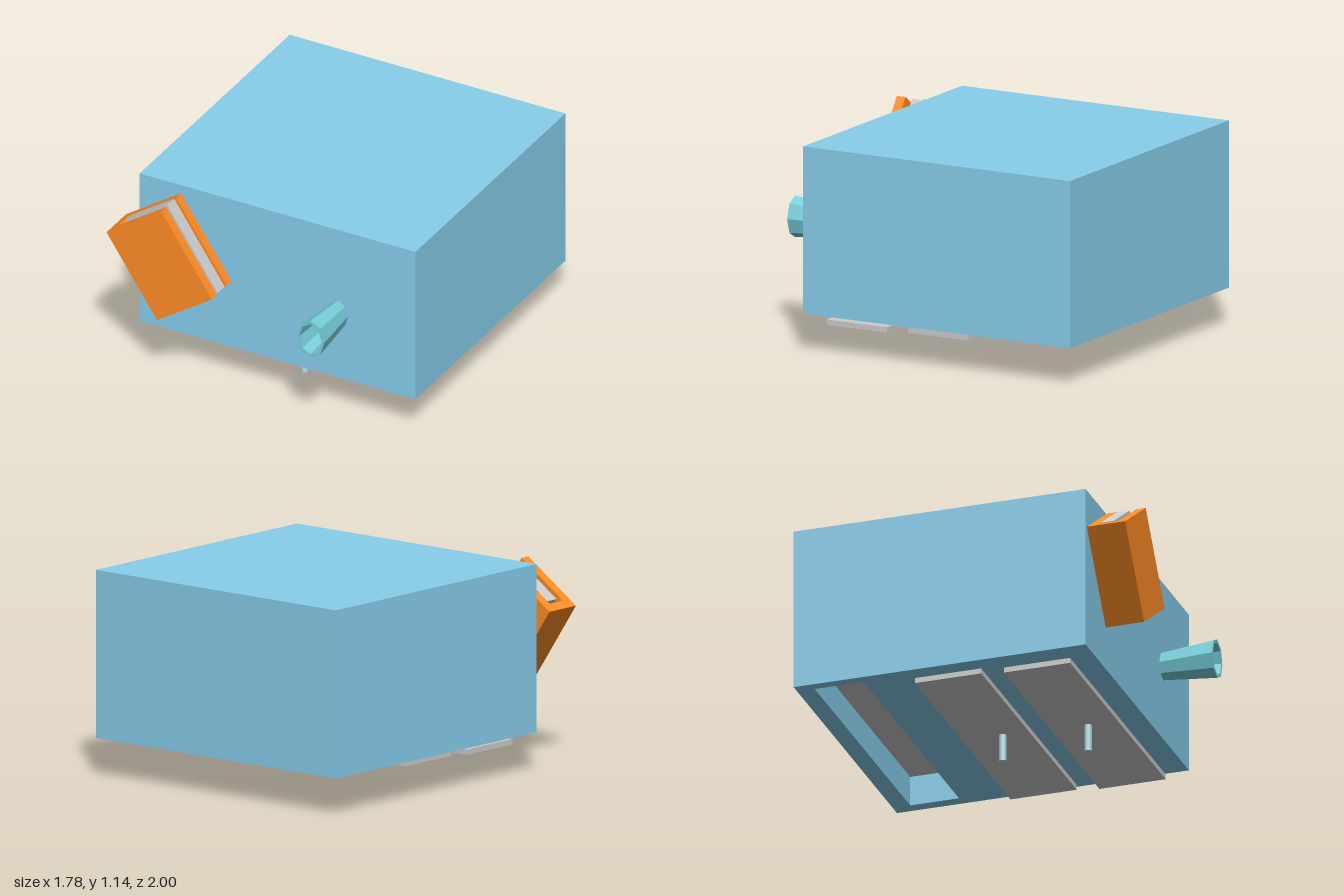
import * as THREE from 'three';

const mat = (color, extra = {}) => new THREE.MeshStandardMaterial({ color, ...extra });

export function createModel() {
  const model = new THREE.Group();
  const blue = mat(0x87ceeb), grey = mat(0xcccccc), orange = mat(0xff8c26);
  const teal = mat(0x78d0dc, { flatShading: true }), pale = mat(0xb0e0e6);

  const add = (parent, name, geometry, material) => {
    const mesh = new THREE.Mesh(geometry, material);
    mesh.name = name;
    parent.add(mesh);
    return mesh;
  };
  // Box given by its min and max along each axis
  const box = (parent, name, material, [x0, x1], [y0, y1], [z0, z1]) => {
    const mesh = add(parent, name, new THREE.BoxGeometry(x1 - x0, y1 - y0, z1 - z0), material);
    mesh.position.set((x0 + x1) / 2, (y0 + y1) / 2, (z0 + z1) / 2);
    return mesh;
  };
  const rect = (target, x0, x1, z0, z1) => target
    .moveTo(x0, -z1).lineTo(x1, -z1).lineTo(x1, -z0).lineTo(x0, -z0).closePath();

  // Body: a pierced lower layer and a solid upper block leave a pocket underneath
  const slotX = [-0.765, 0.815], slotZ = [-0.9, -0.62], slotTop = 0.39;
  const floor = rect(new THREE.Shape(), -0.825, 0.885, -1, 0.675);
  floor.holes.push(rect(new THREE.Path(), ...slotX, ...slotZ));
  const lower = new THREE.ExtrudeGeometry(floor, { depth: slotTop - 0.215, bevelEnabled: false });
  lower.rotateX(-Math.PI / 2);
  add(model, 'bodyBase', lower, blue).position.y = 0.215;
  box(model, 'bodyBlock', blue, [-0.825, 0.885], [slotTop, 1.145], [-1, 0.675]);
  box(model, 'pocketPlate', grey, slotX, [slotTop - 0.005, slotTop + 0.025], slotZ);

  // Two plates under the body, each with a peg
  for (const [y, z, pegZ] of [[0.155, 0.37, 0.39], [0.17, -0.14, -0.1]]) {
    const slider = new THREE.Group();
    slider.name = 'plateWithPeg';
    model.add(slider);
    box(slider, 'plate', grey, [-0.75, 0.83], [y, y + 0.03], [z - 0.19, z + 0.19]);
    const peg = add(slider, 'peg', new THREE.CylinderGeometry(0.02, 0.02, 0.155, 24), pale);
    peg.position.set(0.04, y - 0.0775, pegZ);
  }

  // Tilted holder: a channel open on one side and both ends, with a slab inside
  const holder = new THREE.Group();
  holder.name = 'holder';
  holder.position.set(-0.565, 0.767, 0.815);
  holder.rotation.z = THREE.MathUtils.degToRad(34);
  model.add(holder);
  const w = 0.205, h = [-0.28, 0.28];
  box(holder, 'holderBack', orange, [-w, w], h, [-0.11, -0.055]);
  box(holder, 'holderFront', orange, [-w, w], h, [0.055, 0.11]);
  box(holder, 'holderSide', orange, [-w, -w + 0.055], h, [-0.055, 0.055]);
  box(holder, 'slab', grey, [-0.13, 0.19], h, [-0.055, 0.022]);

  // Hollow eight-sided nozzle, oval in section, widening to the front
  const profile = [[0.085, 1], [0.07, 1], [0.051, 0.69], [0.061, 0.69], [0.085, 1]]
    .reverse().map(([r, z]) => new THREE.Vector2(r, z));
  const nozzle = new THREE.LatheGeometry(profile, 8);
  nozzle.rotateX(Math.PI / 2);
  nozzle.scale(1, 1.36, 1);
  nozzle.translate(0.415, 0.627, 0);
  // The profile runs back to front outside, then returns along the bore
  const wall = [[0.061, 0.69], [0.085, 1], [0.07, 1], [0.051, 0.69], [0.061, 0.69]];
  profile.forEach((p, i) => p.set(...wall[i]));
  nozzle.copy(new THREE.LatheGeometry(profile, 8).rotateX(Math.PI / 2)
    .scale(1, 1.36, 1).translate(0.415, 0.627, 0));
  add(model, 'nozzle', nozzle, teal);

  return model;
}
